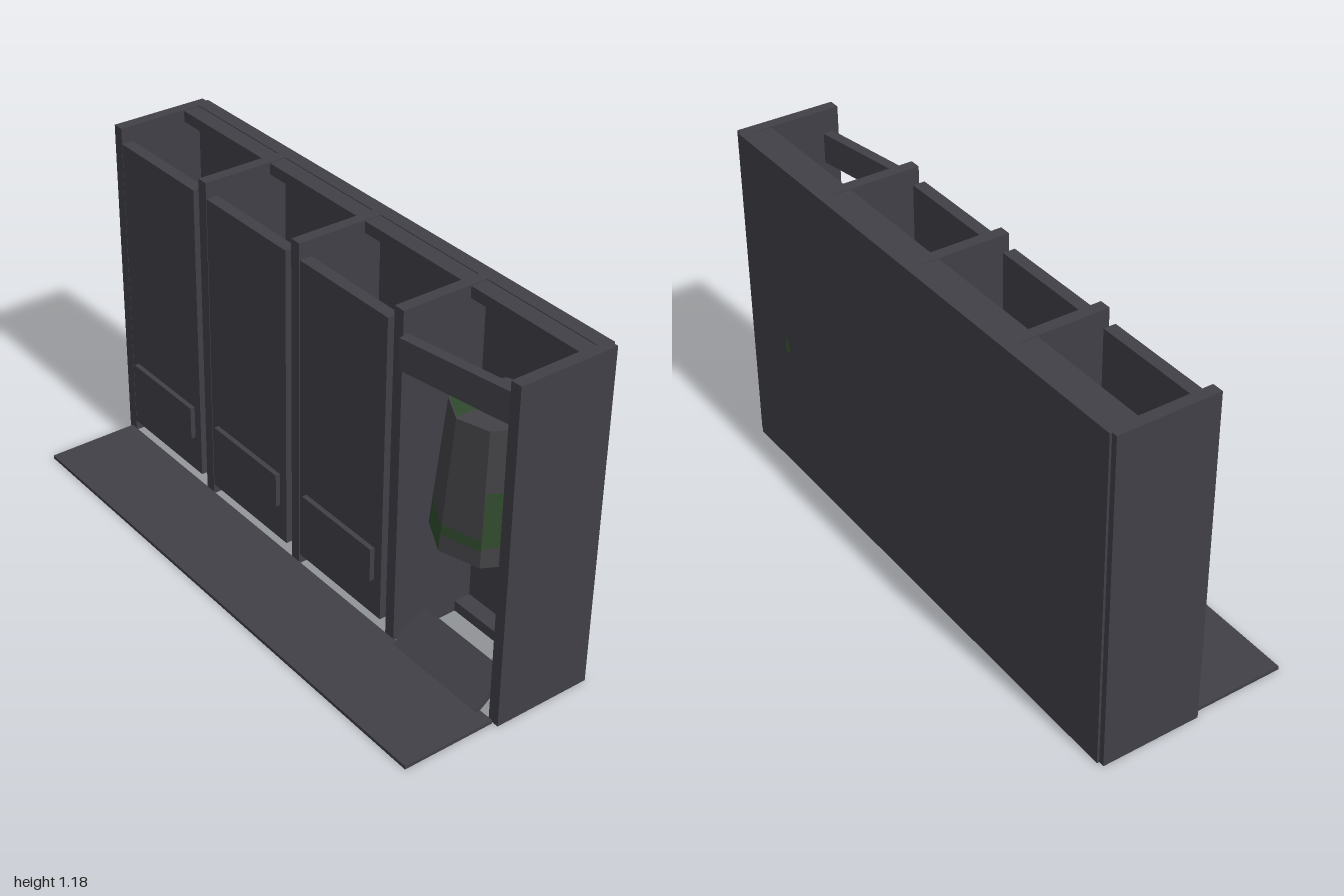
import * as THREE from 'three';

const charcoal = new THREE.MeshStandardMaterial({ color: 0x414047 });
charcoal.name = 'charcoal';
const jarGrey = new THREE.MeshStandardMaterial({ color: 0x424246 });
jarGrey.name = 'smoky grey';
const mossGreen = new THREE.MeshStandardMaterial({ color: 0x304a2d });
mossGreen.name = 'moss green';

// Box given by its minimum and maximum on each axis
function box(parent, name, [x0, x1], [y0, y1], [z0, z1]) {
  const mesh = new THREE.Mesh(new THREE.BoxGeometry(x1 - x0, y1 - y0, z1 - z0), charcoal);
  mesh.position.set((x0 + x1) / 2, (y0 + y1) / 2, (z0 + z1) / 2);
  mesh.name = name;
  parent.add(mesh);
  return mesh;
}

// Eight-sided tapered vessel, each side stacked from coloured bands
function createVessel() {
  const vessel = new THREE.Group();
  vessel.name = 'taperedVessel';
  const low = 0.475, high = 0.92, first = -6;
  const corner = (k, y) => {
    const a = THREE.MathUtils.degToRad(first + 45 * k);
    const r = THREE.MathUtils.mapLinear(y, low, high, 0.187, 0.146);
    return [r * Math.sin(a), y, r * Math.cos(a)];
  };
  // Green band [from, to] on each side, counted from the front
  const bands = [
    [0.53, 0.565], [0.54, 0.72], [0.54, 0.72], [0.53, 0.6],
    [0.475, 0.56], [0.475, 0.65], [0.475, 0.8], [0.475, 0.56],
  ];
  const points = { grey: [], green: [] };
  bands.forEach(([from, to], k) => {
    for (const [y0, y1, key] of [[low, from, 'grey'], [from, to, 'green'], [to, high, 'grey']]) {
      if (y1 - y0 < 0.001) continue;
      const a = corner(k, y0), b = corner(k + 1, y0), c = corner(k + 1, y1), d = corner(k, y1);
      points[key].push(...a, ...b, ...c, ...a, ...c, ...d);
    }
    // Closed top and bottom
    points.grey.push(0, high, 0, ...corner(k, high), ...corner(k + 1, high));
    points.grey.push(0, low, 0, ...corner(k + 1, low), ...corner(k, low));
  });
  for (const [key, material] of [['grey', jarGrey], ['green', mossGreen]]) {
    const geometry = new THREE.BufferGeometry();
    geometry.setAttribute('position', new THREE.Float32BufferAttribute(points[key], 3));
    geometry.computeVertexNormals();
    const mesh = new THREE.Mesh(geometry, material);
    mesh.name = key === 'grey' ? 'vesselShell' : 'vesselGreenBands';
    vessel.add(mesh);
  }
  // Green patch on the top
  const patch = new THREE.Shape([
    [-0.138, 0.015], [-0.112, -0.088], [-0.018, -0.14], [-0.02, -0.085],
    [0.01, -0.015], [0.13, -0.005], [0.132, 0.015],
  ].map(([x, y]) => new THREE.Vector2(x, y)));
  const top = new THREE.Mesh(new THREE.ShapeGeometry(patch).rotateX(-Math.PI / 2), mossGreen);
  top.position.y = high + 0.002;
  top.name = 'vesselTopPatch';
  vessel.add(top);
  vessel.position.set(0.73, 0, -0.165);
  return vessel;
}

export function createModel() {
  const model = new THREE.Group();
  model.name = 'lockerRow';
  const height = 1.182;

  // Back wall with a rail along its top and bottom
  box(model, 'backWall', [-0.98, 0.98], [0, height], [-0.345, -0.295]);
  box(model, 'topRail', [-0.97, 0.97], [1.14, height - 0.003], [-0.3, -0.235]);
  box(model, 'bottomRail', [-0.97, 0.97], [0.003, 0.04], [-0.3, -0.235]);

  // Side panels and partitions
  for (const s of [-1, 1]) {
    box(model, s < 0 ? 'rightSide' : 'leftSide', [s * 0.98 - 0.02, s * 0.98 + 0.02], [0, height], [-0.337, 0.012]);
  }
  for (const x of [-0.49, 0, 0.49]) {
    box(model, 'partition', [x - 0.02, x + 0.02], [0, height], [-0.3, 0.012]);
  }

  // Three closed doors, each with a raised plate
  for (const x of [-0.737, -0.247, 0.243]) {
    const door = new THREE.Group();
    door.name = 'door';
    box(door, 'doorPanel', [-0.208, 0.208], [0.05, 1.135], [-0.022, 0.02]);
    box(door, 'doorPlate', [-0.174, 0.174], [0.185, 0.306], [0.015, 0.037]);
    door.position.x = x;
    model.add(door);
  }

  // Crooked remains of the fourth door
  const header = box(model, 'brokenDoorTop', [0.524, 0.938], [1.01, 1.115], [-0.027, 0.009]);
  header.rotation.y = 0.16;
  const slab = box(model, 'brokenDoorBottom', [0.54, 0.925], [0.047, 0.067], [-0.103, 0.047]);
  slab.rotation.x = 0.64;

  model.add(createVessel());

  // Door slab lying on the floor in front
  box(model, 'floorPlate', [-0.98, 0.98], [0, 0.012], [0.016, 0.345]);
  return model;
}
